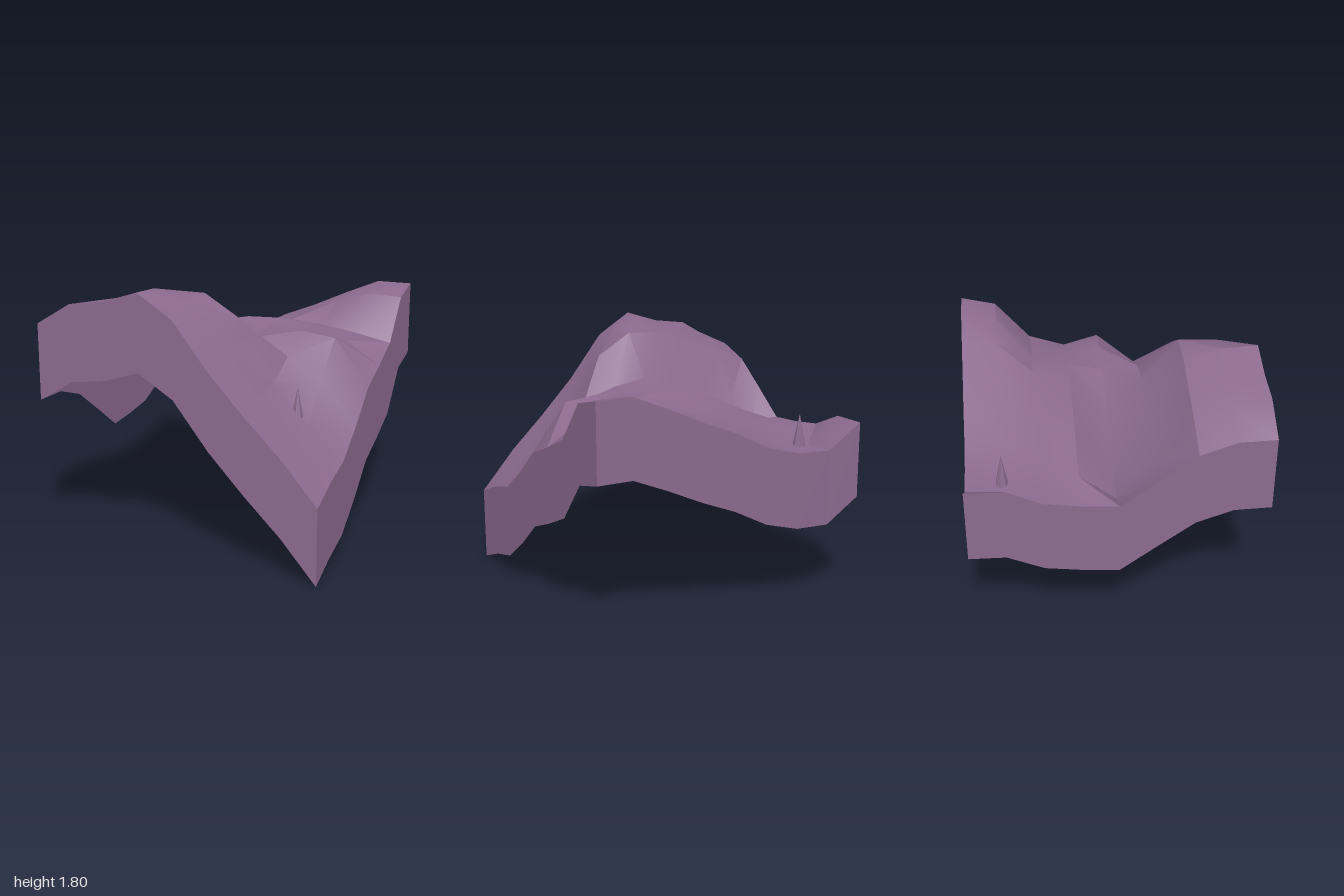
import * as THREE from 'three';
import { toCreasedNormals } from 'three/addons/utils/BufferGeometryUtils.js';

const N = 8;          // cells per side
const STEP = 2 / N;
const SKIRT = 0.53;   // wall depth below the surface

// Ground heights, one row per z from back to front, x from -1 to 1
const HEIGHTS = [
  [1.255, 1.09, 1.10, 1.17, 1.30, 1.40, 1.515, 1.62, 1.62],
  [1.25, 1.07, 1.10, 1.18, 1.28, 1.38, 1.49, 1.57, 1.56],
  [1.14, 1.14, 1.18, 1.26, 1.33, 1.38, 1.36, 1.32, 1.27],
  [1.105, 1.16, 1.26, 1.38, 1.43, 1.44, 1.40, 1.32, 1.16],
  [1.085, 0.97, 1.02, 1.15, 1.28, 1.38, 1.42, 1.39, 1.065],
  [1.27, 1.22, 1.27, 1.36, 1.44, 1.40, 1.29, 1.165, 0.86],
  [1.45, 1.56, 1.64, 1.72, 1.735, 1.585, 1.165, 0.91, 0.69],
  [1.535, 1.65, 1.71, 1.79, 1.725, 1.43, 1.12, 0.87, 0.625],
  [1.54, 1.69, 1.725, 1.805, 1.65, 1.33, 1.065, 0.82, 0.53],
];

// Hill surface: a grid plane lifted by the heights
function surfaceGeometry() {
  const g = new THREE.PlaneGeometry(2, 2, N, N).rotateX(-Math.PI / 2);
  const p = g.attributes.position;
  for (let i = 0; i < p.count; i++) {
    p.setY(i, HEIGHTS[Math.floor(i / (N + 1))][i % (N + 1)]);
  }
  return toCreasedNormals(g, 0.5);
}

// Side wall: a strip that follows one border of the surface
function wallGeometry(cellAt) {
  const g = new THREE.PlaneGeometry(2, 1, N, 1);
  const p = g.attributes.position;
  for (let i = 0; i < p.count; i++) {
    const [ix, iz] = cellAt(i % (N + 1));
    const drop = i > N ? SKIRT : 0;
    p.setXYZ(i, ix * STEP - 1, HEIGHTS[iz][ix] - drop, iz * STEP - 1);
  }
  g.computeVertexNormals();
  return g;
}

export function createModel() {
  const group = new THREE.Group();
  const mauve = new THREE.MeshStandardMaterial({ color: 0x8c6a8e, side: THREE.DoubleSide });
  mauve.name = 'mauve';

  const add = (name, geometry) => {
    const mesh = new THREE.Mesh(geometry, mauve);
    mesh.name = name;
    group.add(mesh);
    return mesh;
  };

  add('hillSurface', surfaceGeometry());

  // Each border runs left to right as seen from outside
  add('frontWall', wallGeometry(i => [i, N]));
  add('leftWall', wallGeometry(i => [N, N - i]));
  add('backWall', wallGeometry(i => [N - i, 0]));
  add('rightWall', wallGeometry(i => [0, i]));

  // Two pointed spikes standing on the ground
  for (const [name, x, base, z] of [
    ['frontSpike', 0.67, 0.92, 0.5],
    ['backSpike', -0.67, 1.065, -0.755],
  ]) {
    const cone = new THREE.ConeGeometry(0.048, 0.24, 7).toNonIndexed();
    cone.computeVertexNormals();
    add(name, cone).position.set(x, base + 0.12, z);
  }

  return group;
}
